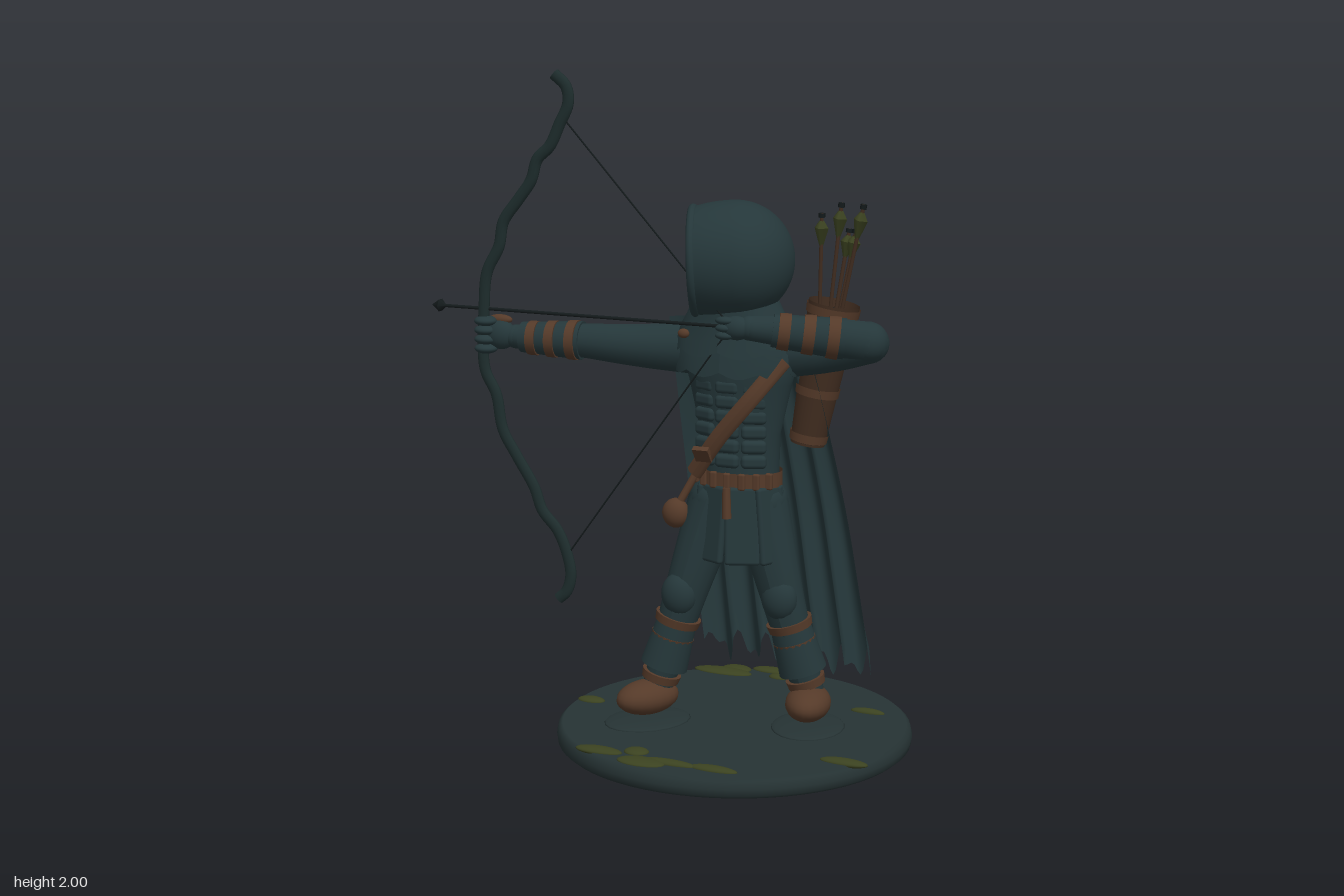
import * as THREE from 'three';
import { RoundedBoxGeometry } from 'three/addons/geometries/RoundedBoxGeometry.js';

const mat = (name, color, side = THREE.FrontSide) => {
  const m = new THREE.MeshStandardMaterial({ color, side });
  m.name = name;
  return m;
};
const V = (x, y, z) => new THREE.Vector3(x, y, z);

export function createModel() {
  const model = new THREE.Group();
  model.name = 'hoodedArcher';
  const cloth = mat('darkTealCloth', 0x25373a, THREE.DoubleSide);
  const stone = mat('baseSlate', 0x263334);
  const leather = mat('brownLeather', 0x553a29, THREE.DoubleSide);
  const hide = mat('darkQuiverLeather', 0x412d20, THREE.DoubleSide);
  const moss = mat('mossGreen', 0x3b4220);
  const wood = mat('bowWood', 0x1e2d2d);
  const dark = mat('shadowBlack', 0x141b1c, THREE.DoubleSide);

  const add = (name, geo, m, pos, parent = model) => {
    const mesh = new THREE.Mesh(geo, m);
    mesh.name = name;
    if (pos) mesh.position.set(...pos);
    parent.add(mesh);
    return mesh;
  };
  const ball = (name, p, r, m) => {
    const b = add(name, new THREE.SphereGeometry(1, 20, 14), m, p);
    b.scale.set(...r);
    return b;
  };
  // straight tapered rod between two points
  const rod = (name, a, b, r1, r2, m, sides = 16, open = false) => {
    const A = V(...a), B = V(...b), d = B.clone().sub(A);
    const mesh = add(name, new THREE.CylinderGeometry(r2, r1, d.length(), sides, 1, open), m);
    mesh.position.copy(A).add(B).multiplyScalar(0.5);
    mesh.quaternion.setFromUnitVectors(V(0, 1, 0), d.normalize());
    return mesh;
  };
  // rounded limb whose points are [x, y, z, radius]
  const limb = (name, pts, m) => {
    const path = new THREE.CatmullRomCurve3(pts.map(p => V(p[0], p[1], p[2])));
    const n = 28, sides = 16, geo = new THREE.TubeGeometry(path, n, 1, sides), pos = geo.attributes.position;
    for (let i = 0; i <= n; i++) {
      const t = i / n, c = path.getPointAt(t), f = t * (pts.length - 1);
      const k = Math.min(Math.floor(f), pts.length - 2);
      const r = THREE.MathUtils.lerp(pts[k][3], pts[k + 1][3], f - k);
      for (let j = 0; j <= sides; j++) {
        const id = i * (sides + 1) + j, v = V(0, 0, 0).fromBufferAttribute(pos, id).sub(c).multiplyScalar(r).add(c);
        pos.setXYZ(id, v.x, v.y, v.z);
      }
    }
    geo.computeVertexNormals();
    add(name, geo, m);
    for (const p of [pts[0], pts[pts.length - 1]]) ball(name + 'End', p.slice(0, 3), [p[3], p[3], p[3]], m);
  };
  // skin over horizontal ellipses [x, y, z, rx, rz], listed bottom to top, with an optional edge rule
  const loft = (name, rings, m, drop = () => 0) => {
    const n = 48, geo = new THREE.PlaneGeometry(1, 1, n, rings.length - 1), pos = geo.attributes.position;
    rings.slice().reverse().forEach(([x, y, z, rx, rz], i) => {
      for (let j = 0; j <= n; j++) {
        const a = (j / n) * Math.PI * 2;
        pos.setXYZ(i * (n + 1) + j, x + Math.sin(a) * rx, y + drop(a, i), z + Math.cos(a) * rz);
      }
    });
    geo.computeVertexNormals();
    return add(name, geo, m);
  };

  // round base with soft rim
  const rim = [[0, 0], [0.52, 0], [0.532, 0.01], [0.535, 0.03], [0.53, 0.052], [0.518, 0.062], [0, 0.062]];
  add('base', new THREE.LatheGeometry(rim.map(p => new THREE.Vector2(...p)), 64), stone, [0.21, 0, 0]);
  [[-0.02, -0.43, 0.1, 0.035], [0.01, -0.47, 0.05, 0.035], [0.12, -0.5, 0.065, 0.026], [0.17, -0.447, 0.036, 0.024],
    [0.55, -0.236, 0.055, 0.018], [0.652, 0.224, 0.074, 0.024], [-0.265, 0.018, 0.045, 0.026], [-0.03, 0.43, 0.075, 0.028],
    [0.075, 0.395, 0.038, 0.032], [0.125, 0.47, 0.075, 0.038], [0.2, 0.445, 0.09, 0.02], [0.34, 0.44, 0.075, 0.022]]
    .forEach(([x, z, rx, rz]) => ball('mossPatch', [x, 0.062, z], [rx, 0.012, rz], moss));

  // legs, boots, knee pads and straps
  const legs = [
    { hip: [0.15, 0.74, 0], knee: [0.07, 0.44, 0.06], ankle: [-0.005, 0.17, 0.08], boot: [-0.025, 0.135, 0.115], turn: -0.5 },
    { hip: [0.28, 0.74, -0.02], knee: [0.36, 0.44, -0.02], ankle: [0.425, 0.17, -0.06], boot: [0.435, 0.135, -0.035], turn: 0.25 }];
  for (const { hip, knee, ankle, boot, turn } of legs) {
    limb('leg', [[...hip, 0.085], [...knee, 0.064], [...ankle, 0.046]], cloth);
    const K = V(...knee), A = V(...ankle), at = t => K.clone().lerp(A, t).toArray();
    rod('shinGuard', at(0.12), at(0.78), 0.057, 0.072, cloth, 20);
    [0.2, 0.42, 0.86].forEach((t, i) => rod('legStrap', at(t + 0.09), at(t), 0.066 - i * 0.005, 0.07 - i * 0.005, leather, 20));
    ball('kneePad', [knee[0], knee[1] + 0.02, knee[2] + 0.035], [0.055, 0.065, 0.045], cloth);
    ball('boot', boot, [0.068, 0.052, 0.105], leather).rotation.y = turn;
    ball('footRing', [boot[0], 0.062, boot[2]], [0.11, 0.014, 0.14], stone).rotation.y = turn;
  }

  // torso, belly plates, belt and coat panels
  loft('torso', [[0.22, 0.66, -0.01, 0.12, 0.09], [0.22, 0.8, -0.01, 0.12, 0.082], [0.22, 0.95, -0.01, 0.125, 0.082],
    [0.22, 1.1, -0.01, 0.16, 0.095], [0.22, 1.2, -0.01, 0.19, 0.105], [0.215, 1.27, -0.01, 0.15, 0.09], [0.21, 1.34, 0, 0.08, 0.075]], cloth);
  for (let row = 0; row < 6; row++) for (const col of [-1, 0, 1]) {
    const p = add('bellyPlate', new RoundedBoxGeometry(0.075, 0.04, 0.03, 3, 0.014), cloth,
      [0.215 + col * 0.077, 0.875 + row * 0.044, 0.074 - Math.abs(col) * 0.018]);
    p.rotation.y = col * 0.4;
  }
  loft('belt', [[0.22, 0.795, -0.01, 0.131, 0.095], [0.22, 0.84, -0.01, 0.131, 0.095]], leather);
  for (let i = -3; i <= 3; i++) add('beltStud', new RoundedBoxGeometry(0.022, 0.05, 0.016, 2, 0.006), leather,
    [0.22 + 0.131 * Math.sin(i * 0.35), 0.817, -0.01 + 0.097 * Math.cos(i * 0.35)]);
  for (let i = 0; i < 8; i++) {
    const a = (i + 0.5) * Math.PI / 4;
    const p = add('coatPanel', new RoundedBoxGeometry(0.105, 0.23, 0.022, 3, 0.01), cloth,
      [0.22 + Math.sin(a) * 0.128, 0.685, -0.01 + Math.cos(a) * 0.1]);
    p.rotation.order = 'YXZ';
    p.rotation.set(-0.1, a, 0);
  }
  rod('beltTail', [0.225, 0.8, 0.1], [0.23, 0.71, 0.107], 0.012, 0.014, leather, 8);
  ball('hipPouch', [0.045, 0.7, 0.065], [0.042, 0.045, 0.035], leather);
  rod('pouchCord', [0.05, 0.72, 0.065], [0.1, 0.82, 0.04], 0.012, 0.012, leather, 8);

  // diagonal chest strap with a buckle
  const strapPath = new THREE.CatmullRomCurve3([V(0.11, 0.83, 0.075), V(0.2, 0.95, 0.1), V(0.3, 1.07, 0.098), V(0.38, 1.18, 0.05)]);
  const strapShape = new THREE.Shape([[-0.008, -0.025], [0.008, -0.025], [0.008, 0.025], [-0.008, 0.025]].map(p => new THREE.Vector2(...p)));
  const strap = new THREE.TubeGeometry(strapPath, 24, 0.026, 10);
  for (let i = 0, p = strap.attributes.position; i < p.count; i++) {
    const c = strapPath.getPointAt(Math.floor(i / 11) / 24);
    p.setZ(i, c.z + (p.getZ(i) - c.z) * 0.4);
  }
  strap.computeVertexNormals();
  add('chestStrap', strap, leather);
  const buckle = add('strapPocket', new THREE.ExtrudeGeometry(strapShape, { depth: 0.05, bevelEnabled: false }), leather, [0.15, 0.875, 0.09]);
  buckle.rotation.set(-0.93, 0, Math.PI / 2);

  // scalloped shoulder mantle in two layers, and clasp
  const scallop = k => (a, i) => i > 1 ? -0.018 * Math.abs(Math.sin(a * k)) : 0;
  loft('mantleLower', [[0.21, 1.145, 0, 0.19, 0.125], [0.21, 1.21, -0.01, 0.205, 0.125], [0.21, 1.27, -0.01, 0.17, 0.11], [0.21, 1.33, 0, 0.11, 0.1]], cloth, scallop(5));
  loft('mantleUpper', [[0.21, 1.205, 0, 0.19, 0.137], [0.21, 1.25, 0, 0.185, 0.127], [0.21, 1.3, 0, 0.15, 0.115], [0.21, 1.36, 0.005, 0.12, 0.11]], cloth, scallop(4));
  ball('mantleClasp', [0.09, 1.25, 0.108], [0.018, 0.014, 0.012], leather);

  // hood, open toward the bow
  const look = V(-0.94, -0.04, 0.34).normalize(), q = new THREE.Quaternion().setFromUnitVectors(V(0, 1, 0), look);
  const hoodGeo = new THREE.SphereGeometry(0.174, 36, 28, 0, Math.PI * 2, 1.13, Math.PI - 1.13);
  for (let i = 0, p = hoodGeo.attributes.position; i < p.count; i++) if (p.getY(i) > 0) p.setY(i, p.getY(i) * 1.6);
  hoodGeo.computeVertexNormals();
  const hood = new THREE.Group();
  hood.name = 'hood';
  hood.position.set(0.212, 1.462, 0.015);
  hood.quaternion.copy(q);
  model.add(hood);
  add('hoodShell', hoodGeo, cloth, null, hood);
  const edge = add('hoodRim', new THREE.TorusGeometry(0.153, 0.013, 10, 40), cloth, [0, 0.118, 0], hood);
  edge.rotation.x = Math.PI / 2;
  add('shadowedFace', new THREE.SphereGeometry(0.125, 24, 18), dark, [0, -0.02, 0], hood);

  // folded, ragged cape
  const nx = 72, ny = 24, capeGeo = new THREE.PlaneGeometry(1, 1, nx, ny), cp = capeGeo.attributes.position;
  for (let j = 0; j <= ny; j++) for (let i = 0; i <= nx; i++) {
    const u = i / nx, v = j / ny, x0 = -0.03 + 0.07 * v * v, x1 = 0.4 + 0.19 * v;
    const rag = 0.035 * Math.sin(u * 41) + 0.025 * Math.sin(u * 73 + 1);
    const wrap = 0.05 * Math.pow(Math.abs(2 * u - 1), 3) * (1 - 0.6 * v);
    const z = -0.105 - 0.11 * Math.sin(Math.min(1, v * 1.5) * Math.PI / 2) + 0.02 * v * v;
    const fold = 0.022 * Math.min(1, 0.3 + v * 2) * (1 - 2 * Math.abs(Math.sin(u * Math.PI * 6)));
    cp.setXYZ(j * (nx + 1) + i, x0 + (x1 - x0) * u, 1.27 - 1.04 * v + rag * Math.pow(v, 8), z + fold + wrap);
  }
  capeGeo.computeVertexNormals();
  add('cape', capeGeo, cloth);

  // bow arm with bracer and fist
  limb('bowArm', [[0.1, 1.19, -0.01, 0.082], [-0.08, 1.19, 0.035, 0.064], [-0.26, 1.198, 0.07, 0.05], [-0.47, 1.2, 0.1, 0.036]], cloth);
  rod('bowBracer', [-0.26, 1.198, 0.07], [-0.45, 1.2, 0.098], 0.058, 0.046, cloth, 20);
  [-0.285, -0.35, -0.41].forEach((x, i) => rod('bowBracerStrap', [x + 0.014, 1.199, 0.076 + i * 0.009],
    [x - 0.014, 1.199, 0.08 + i * 0.009], 0.06 - i * 0.004, 0.059 - i * 0.004, leather, 20));
  ball('bowHand', [-0.515, 1.205, 0.112], [0.05, 0.045, 0.034], cloth);
  for (let i = 0; i < 4; i++) ball('bowFinger', [-0.558, 1.162 + i * 0.028, 0.128], [0.036, 0.016, 0.034], cloth);
  ball('bowThumb', [-0.52, 1.25, 0.105], [0.04, 0.015, 0.017], leather);

  // drawing arm with bracer and hand at the string
  limb('drawUpperArm', [[0.36, 1.2, -0.03, 0.082], [0.49, 1.21, -0.04, 0.068], [0.61, 1.237, -0.035, 0.06]], cloth);
  limb('drawForearm', [[0.61, 1.24, -0.03, 0.06], [0.45, 1.265, 0.045, 0.052], [0.3, 1.28, 0.11, 0.036]], cloth);
  rod('drawBracer', [0.55, 1.25, 0], [0.36, 1.274, 0.084], 0.06, 0.048, cloth, 20);
  const F0 = V(0.55, 1.25, 0), F1 = V(0.36, 1.274, 0.084);
  [0.08, 0.42, 0.76].forEach(t => rod('drawBracerStrap', F0.clone().lerp(F1, t).toArray(), F0.clone().lerp(F1, t + 0.16).toArray(),
    0.064 - t * 0.012, 0.062 - t * 0.012, leather, 20));
  ball('drawHand', [0.265, 1.28, 0.125], [0.048, 0.035, 0.032], cloth);
  for (let i = 0; i < 3; i++) ball('drawFinger', [0.235, 1.258 + i * 0.022, 0.142], [0.028, 0.012, 0.018], cloth);

  // gnarled recurve bow and string
  const bow = [[-0.317, 1.99], [-0.278, 1.955], [-0.272, 1.905], [-0.3, 1.846], [-0.333, 1.78], [-0.375, 1.74], [-0.397, 1.676],
    [-0.44, 1.618], [-0.492, 1.549], [-0.508, 1.475], [-0.55, 1.395], [-0.562, 1.29], [-0.562, 1.1], [-0.524, 1.024],
    [-0.503, 0.918], [-0.455, 0.838], [-0.397, 0.748], [-0.37, 0.679], [-0.317, 0.62], [-0.282, 0.536], [-0.275, 0.483], [-0.29, 0.435], [-0.317, 0.41]];
  const bowGeo = new THREE.TubeGeometry(new THREE.CatmullRomCurve3(bow.map(p => V(p[0], p[1], 0))), 140, 0.018, 10);
  add('bow', bowGeo, wood, [0, 0, 0.13]).scale.z = 0.65;
  const nock = [0.25, 1.283, 0.13];
  rod('stringUpper', [-0.285, 1.86, 0.13], nock, 0.0025, 0.0025, dark, 6);
  rod('stringLower', [-0.285, 0.55, 0.13], nock, 0.0025, 0.0025, dark, 6);

  // nocked arrow
  rod('arrowShaft', [-0.71, 1.283, 0.128], nock, 0.005, 0.005, dark, 8);
  rod('arrowHead', [-0.715, 1.283, 0.128], [-0.745, 1.283, 0.128], 0.021, 0, dark, 6);
  rod('arrowHeadBack', [-0.715, 1.283, 0.128], [-0.698, 1.283, 0.128], 0.021, 0.005, dark, 6);

  // quiver with bands and spare arrows
  const Q0 = V(0.375, 0.9, -0.155), Q1 = V(0.45, 1.325, -0.17), onQ = t => Q0.clone().lerp(Q1, t).toArray();
  rod('quiver', onQ(0), onQ(1), 0.052, 0.077, hide, 24, true);
  rod('quiverFloor', onQ(0), onQ(0.02), 0.05, 0.053, hide, 24);
  rod('quiverFill', onQ(0.9), onQ(0.94), 0.07, 0.071, dark, 24);
  [0.02, 0.35, 0.92].forEach(t => rod('quiverBand', onQ(t), onQ(t + 0.06), 0.056 + t * 0.025, 0.058 + t * 0.025, leather, 24, true));
  [[0.415, 1.59, -0.15], [0.465, 1.62, -0.18], [0.54, 1.62, -0.165], [0.475, 1.54, -0.22], [0.5, 1.54, -0.21]].forEach(([x, y, z]) => {
    const foot = V(0.42 + (x - 0.46) * 0.3, 1.15, -0.17 + (z + 0.18) * 0.4), tip = V(x, y, z);
    const near = d => tip.clone().lerp(foot, d).toArray();
    rod('spareArrow', foot.toArray(), near(0), 0.006, 0.006, hide, 8);
    rod('fletchingLower', near(0.22), near(0.1), 0.006, 0.022, moss, 4);
    rod('fletchingUpper', near(0.1), near(0.05), 0.022, 0.007, moss, 4);
    rod('arrowNock', near(0.03), near(0), 0.01, 0.01, dark, 6);
  });
  return model;
}
